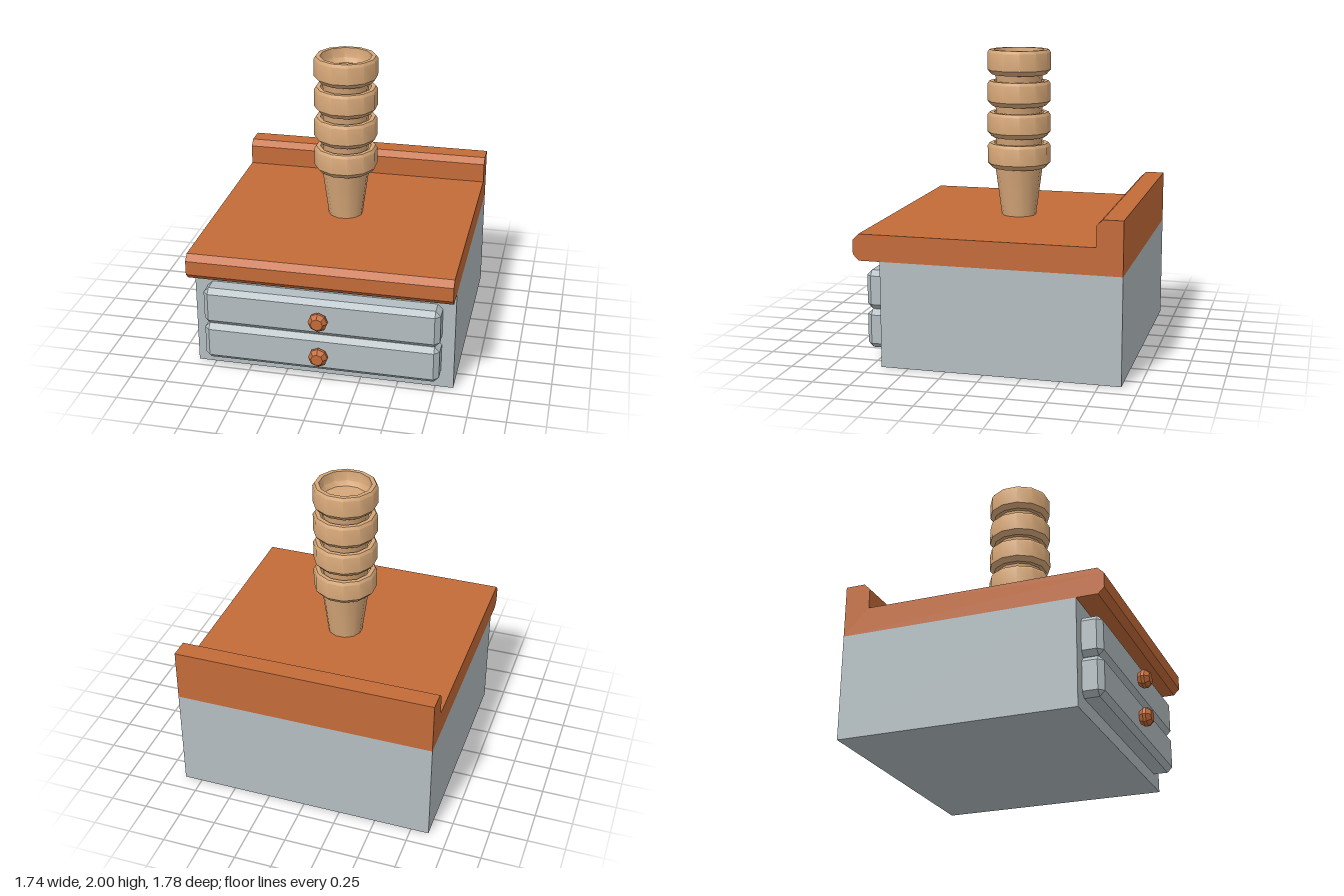
import * as THREE from 'three';
import { toCreasedNormals } from 'three/addons/utils/BufferGeometryUtils.js';
import { ConvexGeometry } from 'three/addons/geometries/ConvexGeometry.js';

const material = (name, color) => {
  const m = new THREE.MeshStandardMaterial({ color });
  m.name = name;
  return m;
};

const lathe = (points, sides, start = 0) => toCreasedNormals(
  new THREE.LatheGeometry(points.map(([r, y]) => new THREE.Vector2(r, y)), sides, start), 0.6);

// Box whose sides and front edges are chamfered by c
function drawerGeometry(w, h, back, front, c) {
  const pts = [];
  for (const sx of [-1, 1]) for (const sy of [-1, 1]) {
    const x = sx * w / 2, y = sy * h / 2, ix = x - sx * c, iy = y - sy * c;
    pts.push(new THREE.Vector3(ix, iy, front));
    for (const z of [back, front - c]) {
      pts.push(new THREE.Vector3(ix, y, z), new THREE.Vector3(x, iy, z));
    }
  }
  return new ConvexGeometry(pts);
}

export function createModel() {
  const grey = material('greyPaint', 0xb4bec2);
  const wood = material('orangeWood', 0xc46b39);
  const tan = material('tanCup', 0xd6a778);
  const group = new THREE.Group();
  const add = (name, geometry, mat, x = 0, y = 0, z = 0) => {
    const mesh = new THREE.Mesh(geometry, mat);
    mesh.name = name;
    mesh.position.set(x, y, z);
    group.add(mesh);
    return mesh;
  };

  // Cabinet body
  add('cabinet', new THREE.BoxGeometry(1.74, 0.7, 1.57), grey, 0, 0.35, -0.105);

  // Worktop with chamfered front edge and raised back lip, drawn as (-z, y)
  const profile = [[-0.82, 0.7], [0.89, 0.7], [0.89, 1.05], [0.76, 1.05], [0.72, 1.01],
    [0.72, 0.875], [-0.82, 0.875], [-0.86, 0.835], [-0.86, 0.74]];
  const top = new THREE.ExtrudeGeometry(
    new THREE.Shape(profile.map(([a, b]) => new THREE.Vector2(a, b))),
    { depth: 1.74, bevelEnabled: false });
  top.translate(0, 0, -0.87).rotateY(Math.PI / 2);
  add('worktop', top, wood);

  // Drawers and their knobs
  const drawer = drawerGeometry(1.57, 0.26, 0.67, 0.81, 0.034);
  const knob = lathe([[0, 0], [0.042, 0], [0.065, 0.03], [0.065, 0.05], [0.04, 0.08], [0, 0.08]], 8);
  knob.rotateX(Math.PI / 2);
  [0.222, 0.484].forEach((y) => {
    add('drawer', drawer, grey, 0, y, 0);
    add('knob', knob, wood, 0, y, 0.808);
  });

  // Stack of nested cups, each with a thick rim and a hollow mouth
  const cup = lathe([[0, 0], [0.117, 0], [0.16, 0.325], [0.185, 0.328], [0.213, 0.36],
    [0.213, 0.475], [0.2, 0.495], [0.172, 0.495], [0.165, 0.43], [0.142, 0.4], [0, 0.4]],
  12, Math.PI / 12);
  for (let i = 0; i < 4; i++) add('cup', cup, tan, 0, 0.875 + i * 0.21, -0.018);

  return group;
}
